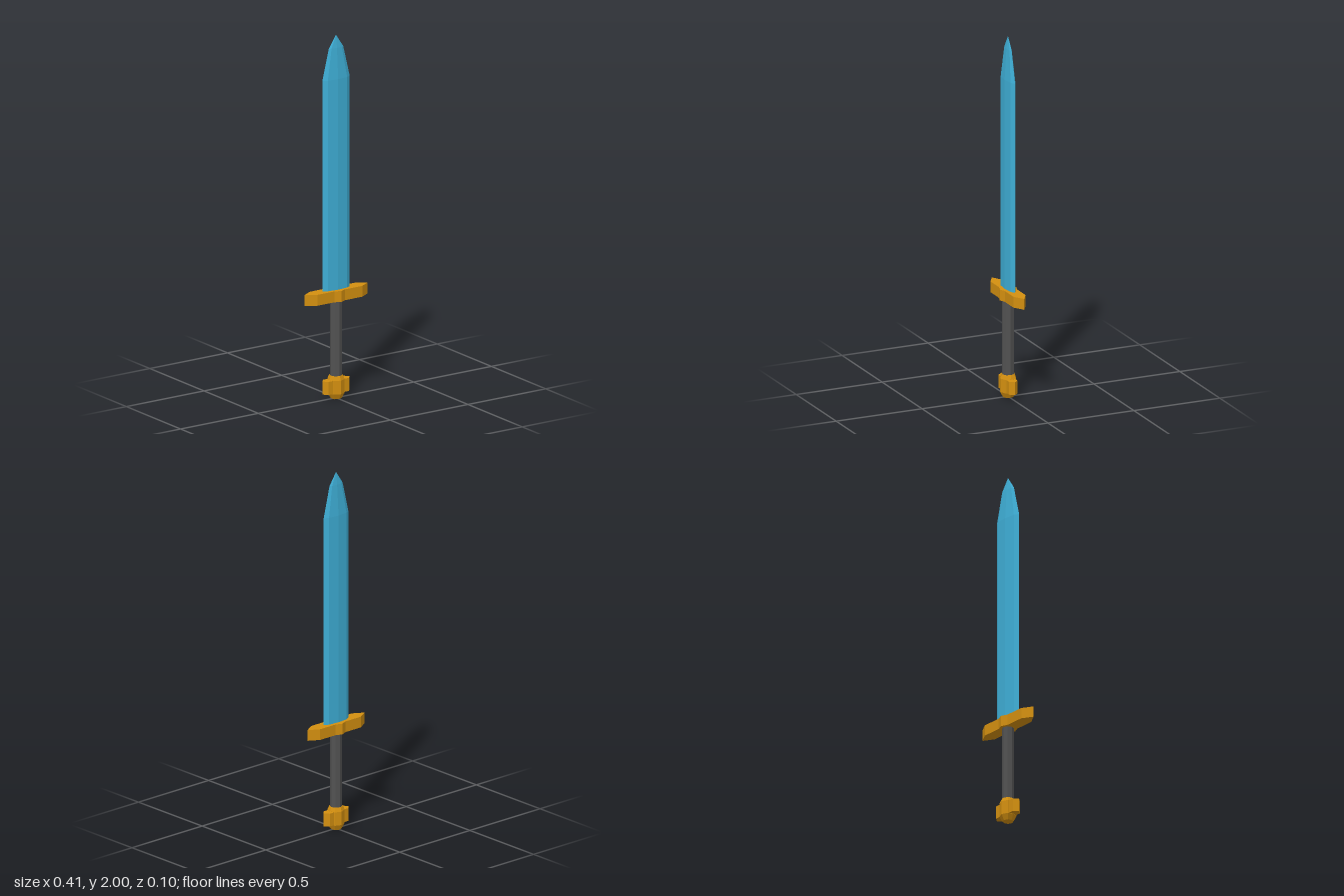
import * as THREE from 'three';

const material = (name, color) => {
  const m = new THREE.MeshStandardMaterial({ color, flatShading: true });
  m.name = name;
  return m;
};

// Mirrors a quarter outline, running from the +x axis to the +z axis, into a full ring of [x, z].
function mirrorOutline(quarter) {
  const half = [...quarter, ...quarter.slice(0, -1).reverse().map(([x, z]) => [-x, z])];
  return [...half, ...half.slice(1, -1).reverse().map(([x, z]) => [x, -z])];
}

// Joins scaled copies of an outline; each level is [y, scaleX, scaleZ]. Both ends are capped.
function loft(quarter, levels) {
  const outline = mirrorOutline(quarter);
  const n = outline.length;
  const rings = levels.map(([y, sx, sz]) => outline.map(([x, z]) => [x * sx, y, z * sz]));
  const bottom = [0, levels[0][0], 0];
  const top = [0, levels[levels.length - 1][0], 0];
  const positions = [];
  const triangle = (a, b, c) => positions.push(...a, ...b, ...c);
  for (let i = 0; i < n; i++) {
    const j = (i + 1) % n;
    for (let k = 0; k < rings.length - 1; k++) {
      const low = rings[k], high = rings[k + 1];
      triangle(low[i], high[i], high[j]);
      triangle(low[i], high[j], low[j]);
    }
    const last = rings[rings.length - 1];
    triangle(bottom, rings[0][i], rings[0][j]);
    triangle(top, last[j], last[i]);
  }
  const geometry = new THREE.BufferGeometry();
  geometry.setAttribute('position', new THREE.Float32BufferAttribute(positions, 3));
  geometry.computeVertexNormals();
  return geometry;
}

export function createModel() {
  const sword = new THREE.Group();
  sword.name = 'sword';
  const blue = material('blueSteel', 0x3fb0d8);
  const gold = material('gold', 0xd49010);
  const grey = material('darkGrip', 0x525252);

  const add = (name, geometry, mat) => {
    const mesh = new THREE.Mesh(geometry, mat);
    mesh.name = name;
    sword.add(mesh);
  };

  // Bevelled blade narrowing in two steps to the point
  add('blade', loft([[0.088, 0], [0.062, 0.014], [0, 0.02]], [
    [0.59, 1, 1], [1.76, 1, 1], [1.93, 0.53, 0.45], [2, 0.001, 0.001],
  ]), blue);

  // Crossguard with pointed ends and a ridge in the middle
  add('crossguard', loft([[0.203, 0], [0.145, 0.035], [0.035, 0.035], [0, 0.05]], [
    [0.54, 1, 1], [0.6, 1, 1],
  ]), gold);

  // Eight-sided grip
  const grip = new THREE.CylinderGeometry(0.033, 0.033, 0.44, 8);
  grip.translate(0, 0.33, 0);
  add('grip', grip, grey);

  // Pommel core, chamfered at the top and bottom
  add('pommelCore', loft([[0.042, 0], [0.035, 0.03], [0, 0.045]], [
    [0, 0.65, 0.65], [0.03, 1, 1], [0.105, 1, 1], [0.127, 0.8, 0.8],
  ]), gold);

  // Short pointed arms on both sides of the pommel
  add('pommelArms', loft([[0.088, 0], [0.066, 0.025], [0.035, 0.025], [0, 0.03]], [
    [0.032, 1, 1], [0.104, 1, 1],
  ]), gold);

  return sword;
}
